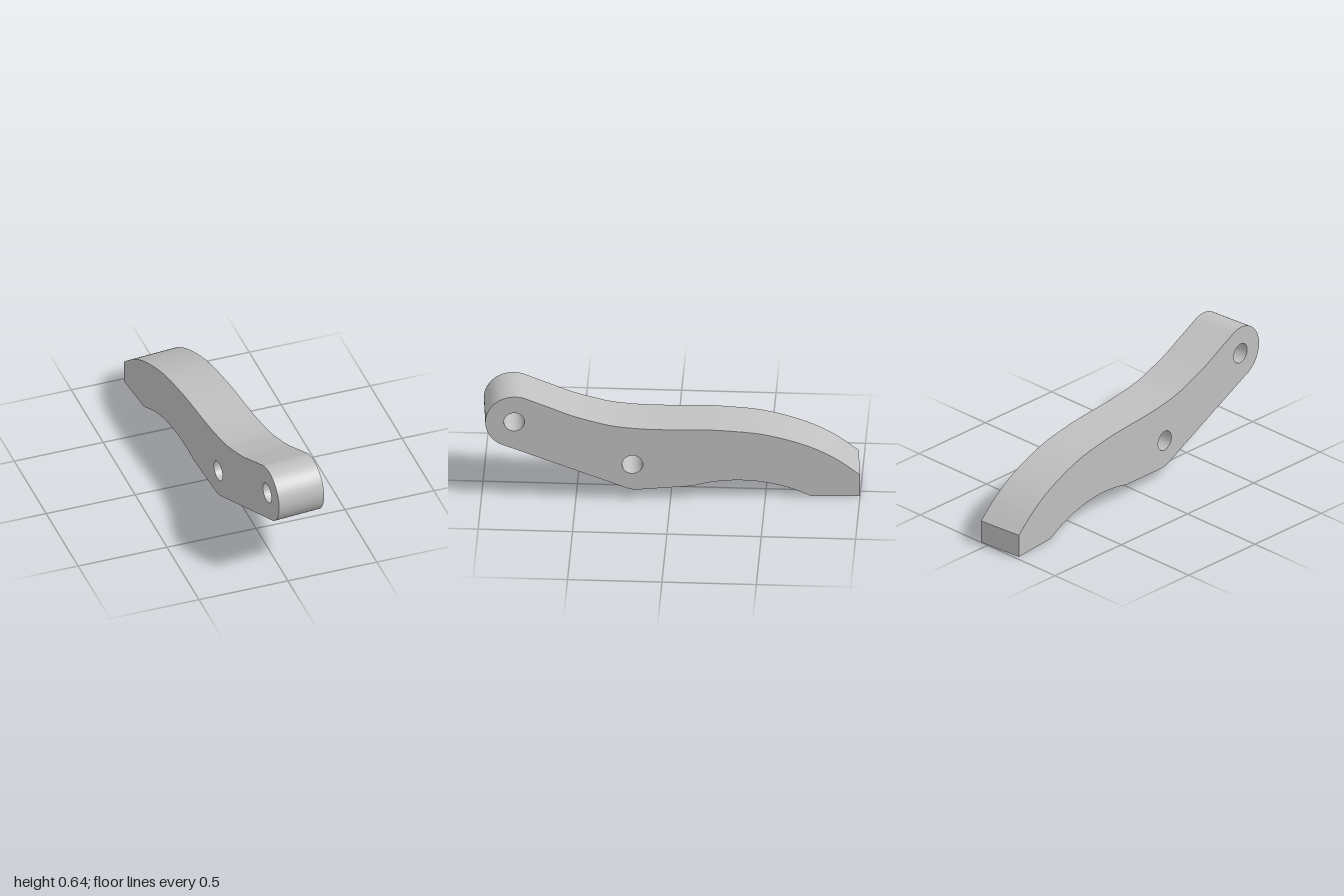
import * as THREE from 'three';
import { toCreasedNormals } from 'three/addons/utils/BufferGeometryUtils.js';

const WIDTH = 0.261;
const YAW = THREE.MathUtils.degToRad(4.7);

// Side profile: x runs from the back foot to the rounded front end
function leverProfile() {
  const s = new THREE.Shape();
  s.moveTo(-0.993, 0);
  s.lineTo(-0.73, 0.004);
  s.absarc(-0.33, -0.72, 0.828, 2.0756, 1.2956, true); // hollow underside
  s.lineTo(0.18, 0.06);
  s.quadraticCurveTo(0.222, 0.058, 0.26, 0.078); // softened lower corner
  s.lineTo(0.898, 0.346);
  s.absarc(0.838, 0.486, 0.153, -1.171, 1.993, false); // round front end
  s.lineTo(0.62, 0.557);
  s.splineThru([
    [0.526, 0.516], [0.42, 0.481], [0.312, 0.451], [0.16, 0.431], [0.01, 0.423],
    [-0.14, 0.42], [-0.276, 0.412], [-0.49, 0.383], [-0.704, 0.315],
    [-0.864, 0.23], [-0.993, 0.128],
  ].map(([x, y]) => new THREE.Vector2(x, y)));
  s.closePath();

  // Two pin holes through the width
  for (const [x, y] of [[0.838, 0.486], [0.212, 0.214]]) {
    const hole = new THREE.Path();
    hole.absarc(x, y, 0.055, 0, Math.PI * 2, true);
    s.holes.push(hole);
  }
  return s;
}

export function createModel() {
  const group = new THREE.Group();
  group.name = 'lever';

  const grey = new THREE.MeshStandardMaterial({ color: 0xc0c0c0 });
  grey.name = 'grey';

  const geometry = new THREE.ExtrudeGeometry(leverProfile(), {
    depth: WIDTH, bevelEnabled: false, curveSegments: 36,
  });
  geometry.translate(0, 0, -WIDTH / 2);

  const arm = new THREE.Mesh(toCreasedNormals(geometry, 0.2), grey);
  arm.name = 'leverArm';
  arm.rotation.y = YAW - Math.PI / 2; // profile points to the front, slightly turned
  group.add(arm);
  return group;
}
